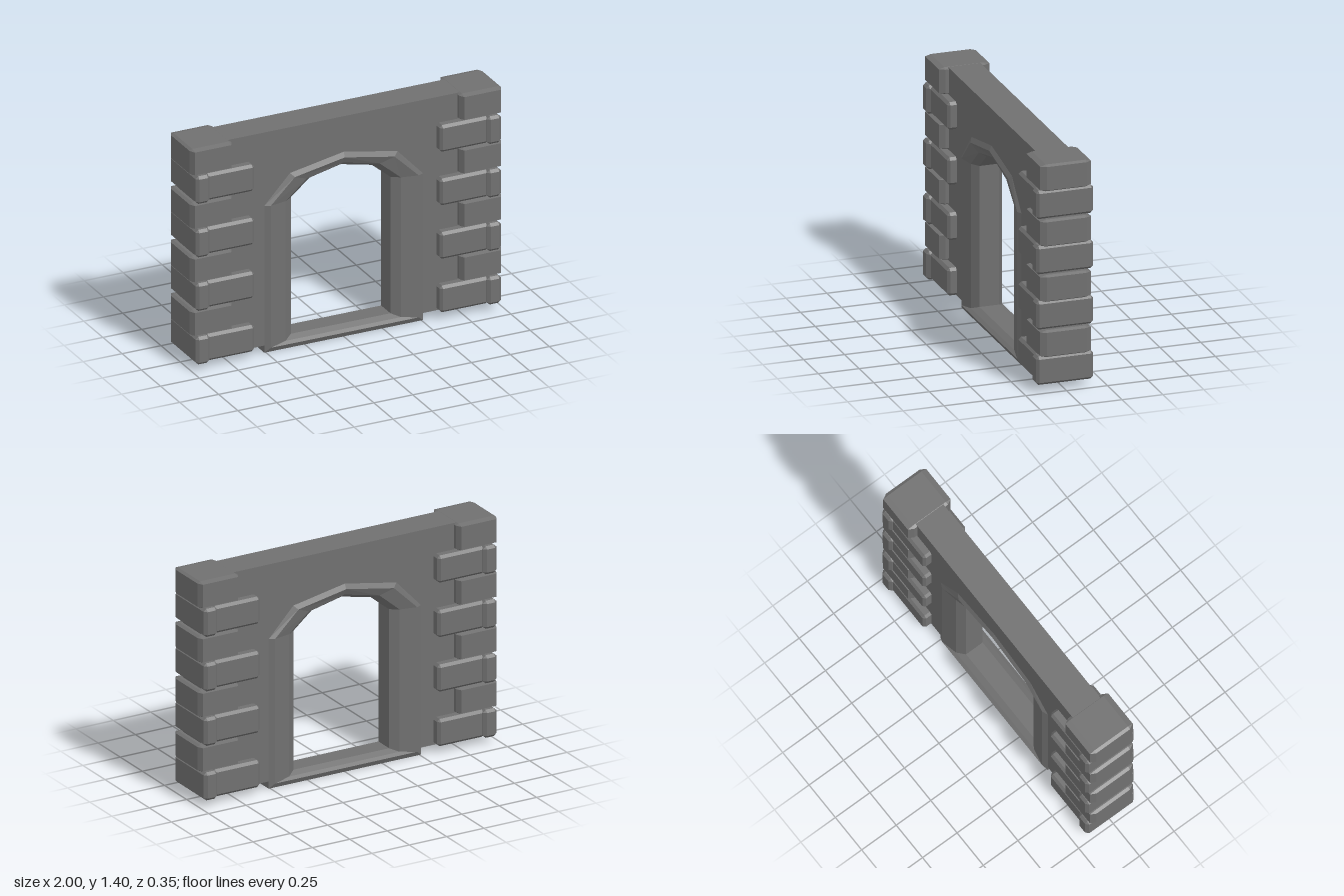
import * as THREE from 'three';
import { ConvexGeometry } from 'three/addons/geometries/ConvexGeometry.js';

const stone = new THREE.MeshStandardMaterial({ color: 0x707070 });
stone.name = 'stone grey';

// Box between two corners with every edge chamfered (cx, cy, cz = cut along each axis)
function chamferBox(name, [x0, y0, z0], [x1, y1, z1], cx, cy, cz) {
  const h = [(x1 - x0) / 2, (y1 - y0) / 2, (z1 - z0) / 2];
  const pts = [];
  for (const sx of [-1, 1]) for (const sy of [-1, 1]) for (const sz of [-1, 1]) {
    pts.push(new THREE.Vector3(sx * h[0], sy * (h[1] - cy), sz * (h[2] - cz)));
    pts.push(new THREE.Vector3(sx * (h[0] - cx), sy * h[1], sz * (h[2] - cz)));
    pts.push(new THREE.Vector3(sx * (h[0] - cx), sy * (h[1] - cy), sz * h[2]));
  }
  const mesh = new THREE.Mesh(new ConvexGeometry(pts), stone);
  mesh.position.set((x0 + x1) / 2, (y0 + y1) / 2, (z0 + z1) / 2);
  mesh.name = name;
  return mesh;
}

// Closed door outline, clockwise from the bottom left
function outline(halfWidth, bottom, spring, shoulderX, shoulderY, apex) {
  return [
    [-halfWidth, bottom], [-halfWidth, spring], [-shoulderX, shoulderY], [0, apex],
    [shoulderX, shoulderY], [halfWidth, spring], [halfWidth, bottom],
  ];
}

// Frame rings from the wall face to the opening, with their depth
const rings = [
  { p: outline(0.51, 0, 0.93, 0.345, 1.105, 1.17), z: 0.1 },
  { p: outline(0.475, 0.03, 0.93, 0.32, 1.08, 1.14), z: 0.115 },
  { p: outline(0.37, 0.045, 0.93, 0.235, 1.045, 1.1), z: 0.095 },
  { p: outline(0.32, 0.065, 0.93, 0.2, 1.03, 1.075), z: 0.06 },
];

// Moulded door surround and sill, looped around the opening
function frame() {
  const loops = [
    ...rings,
    ...[...rings].reverse().map(({ p, z }) => ({ p, z: -z })),
  ];
  const n = rings[0].p.length;
  const pos = [];
  const at = (i, j) => {
    const { p, z } = loops[j % loops.length];
    return [...p[i % n], z];
  };
  for (let j = 0; j < loops.length; j++) {
    for (let i = 0; i < n; i++) {
      const a = at(i, j), b = at(i + 1, j), c = at(i + 1, j + 1), d = at(i, j + 1);
      pos.push(...a, ...d, ...c, ...a, ...c, ...b);
    }
  }
  const geo = new THREE.BufferGeometry();
  geo.setAttribute('position', new THREE.Float32BufferAttribute(pos, 3));
  geo.computeVertexNormals();
  const mesh = new THREE.Mesh(geo, stone);
  mesh.name = 'doorFrame';
  return mesh;
}

// Flat wall with the doorway notched out of its lower edge
function wall() {
  const w = 0.965, bottom = 0.045, top = 1.395;
  const notch = rings[1].p.map(([x, y]) => new THREE.Vector2(x, Math.max(y, bottom)));
  const shape = new THREE.Shape([
    new THREE.Vector2(-w, bottom), ...notch, new THREE.Vector2(w, bottom),
    new THREE.Vector2(w, top), new THREE.Vector2(-w, top),
  ]);
  const geo = new THREE.ExtrudeGeometry(shape, { depth: 0.2, bevelEnabled: false });
  geo.translate(0, 0, -0.1);
  const mesh = new THREE.Mesh(geo, stone);
  mesh.name = 'wall';
  return mesh;
}

// Corner stones for one side, alternating long and short courses
function cornerStones(side) {
  const group = new THREE.Group();
  group.name = side > 0 ? 'leftCornerStones' : 'rightCornerStones';
  const span = (a, b) => (side > 0 ? [a, b] : [-b, -a]);
  const add = (name, a, b, y0, y1, z, cx, cy, cz) => {
    const [x0, x1] = span(a, b);
    group.add(chamferBox(name, [x0, y0, -z], [x1, y1, z], cx, cy, cz));
  };
  const pitch = 0.339;
  for (let i = 0; i < 4; i++) {
    const y = 0.042 + i * pitch;
    add('longStone', 0.595, 0.91, y + 0.003, y + 0.172, 0.155, 0.016, 0.016, 0.016);
    add('endStone', 0.89, 0.98, y, y + 0.175, 0.175, 0.018, 0.016, 0.016);
    add('shortStone', 0.73, 1, y + 0.173, y + 0.337, 0.155, 0.018, 0.01, 0.034);
  }
  return group;
}

export function createModel() {
  const model = new THREE.Group();
  model.name = 'stoneDoorway';
  model.add(wall(), frame(), cornerStones(1), cornerStones(-1));
  return model;
}
